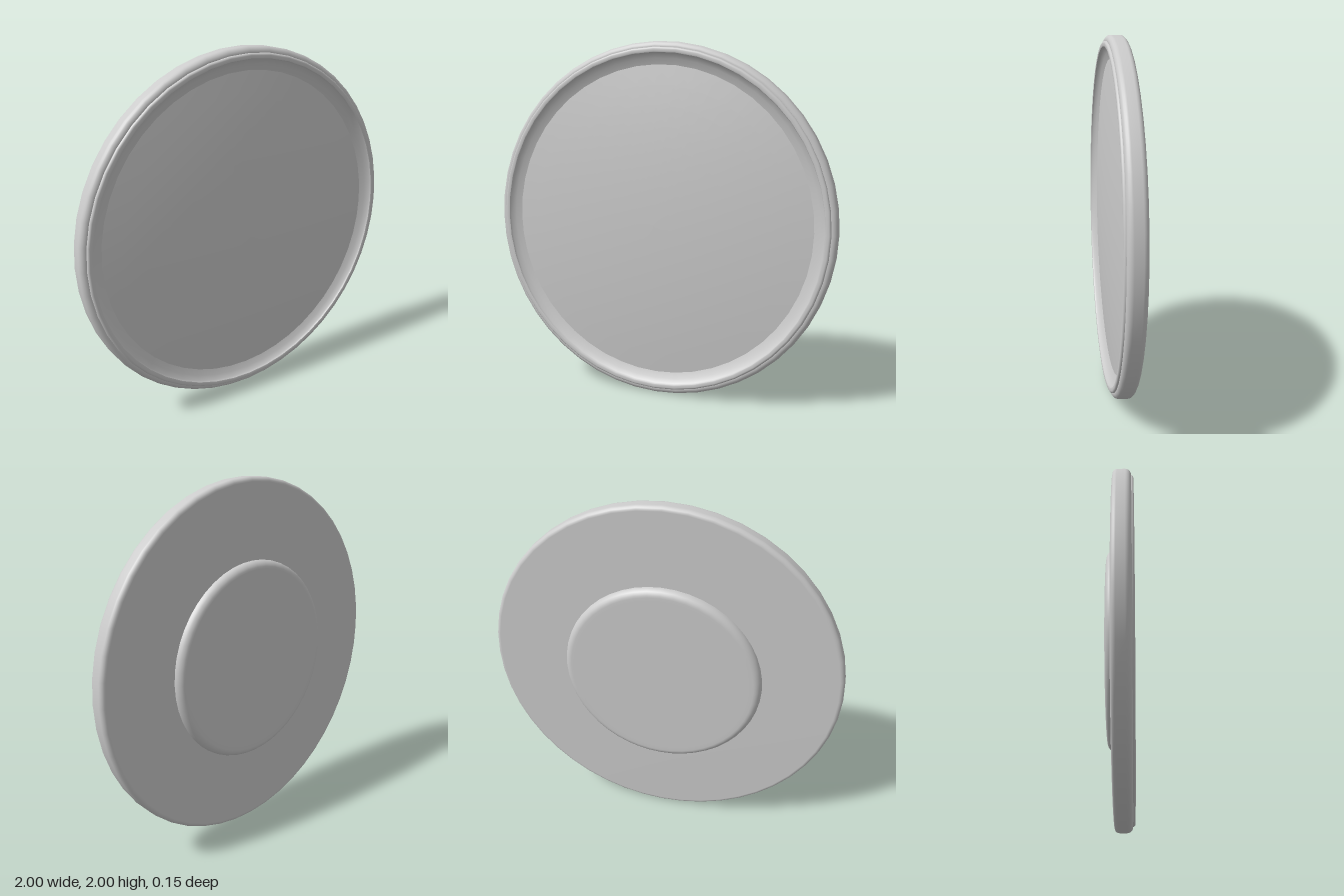
import * as THREE from 'three';

const SEGMENTS = 48;
const material = new THREE.MeshStandardMaterial({ color: 0xcccccc, side: THREE.DoubleSide });

// Turned part: [radius, z] profile running from the back to the front
function turned(name, profile) {
  const geometry = new THREE.LatheGeometry(profile.map(([r, z]) => new THREE.Vector2(r, z)), SEGMENTS);
  geometry.rotateX(Math.PI / 2);
  const mesh = new THREE.Mesh(geometry, material);
  mesh.name = name;
  return mesh;
}

// Quarter-round corner points around (r, z), from angle a to b in degrees
function corner(r, z, radius, a, b, steps = 5) {
  return Array.from({ length: steps + 1 }, (_, i) => {
    const t = THREE.MathUtils.degToRad(a + (b - a) * i / steps);
    return [r + radius * Math.cos(t), z + radius * Math.sin(t)];
  });
}

export function createModel() {
  const model = new THREE.Group();
  model.name = 'roundPanel';

  // Main disc with rounded rim
  model.add(turned('body', [
    [0, -0.037],
    ...corner(0.975, -0.012, 0.025, -90, 0),
    ...corner(0.97, 0.03, 0.03, 0, 90),
    [0.94, 0.06],
  ]));

  // Raised bezel with a rounded crest
  model.add(turned('bezel', [
    [0.968, 0.055],
    ...corner(0.956, 0.06, 0.012, 0, 90, 3),
    [0.945, 0.072], [0.94, 0.07],
  ]));

  // Sloping inner wall of the bezel
  model.add(turned('bezelInnerWall', [[0.94, 0.07], [0.935, 0.058], [0.91, 0.042], [0.875, 0.03]]));

  // Gently domed front face
  const dome = Array.from({ length: 9 }, (_, i) => {
    const r = 0.88 * (1 - i / 8);
    return [r, 0.077 - 0.06 * r * r];
  });
  model.add(turned('face', dome));

  // Rounded mounting pad on the back
  model.add(turned('backPad', [
    [0, -0.077], [0.5, -0.077],
    ...corner(0.523, -0.035, 0.042, -90, 0, 6),
  ]));

  model.position.y = 1;
  const root = new THREE.Group();
  root.add(model);
  return root;
}
